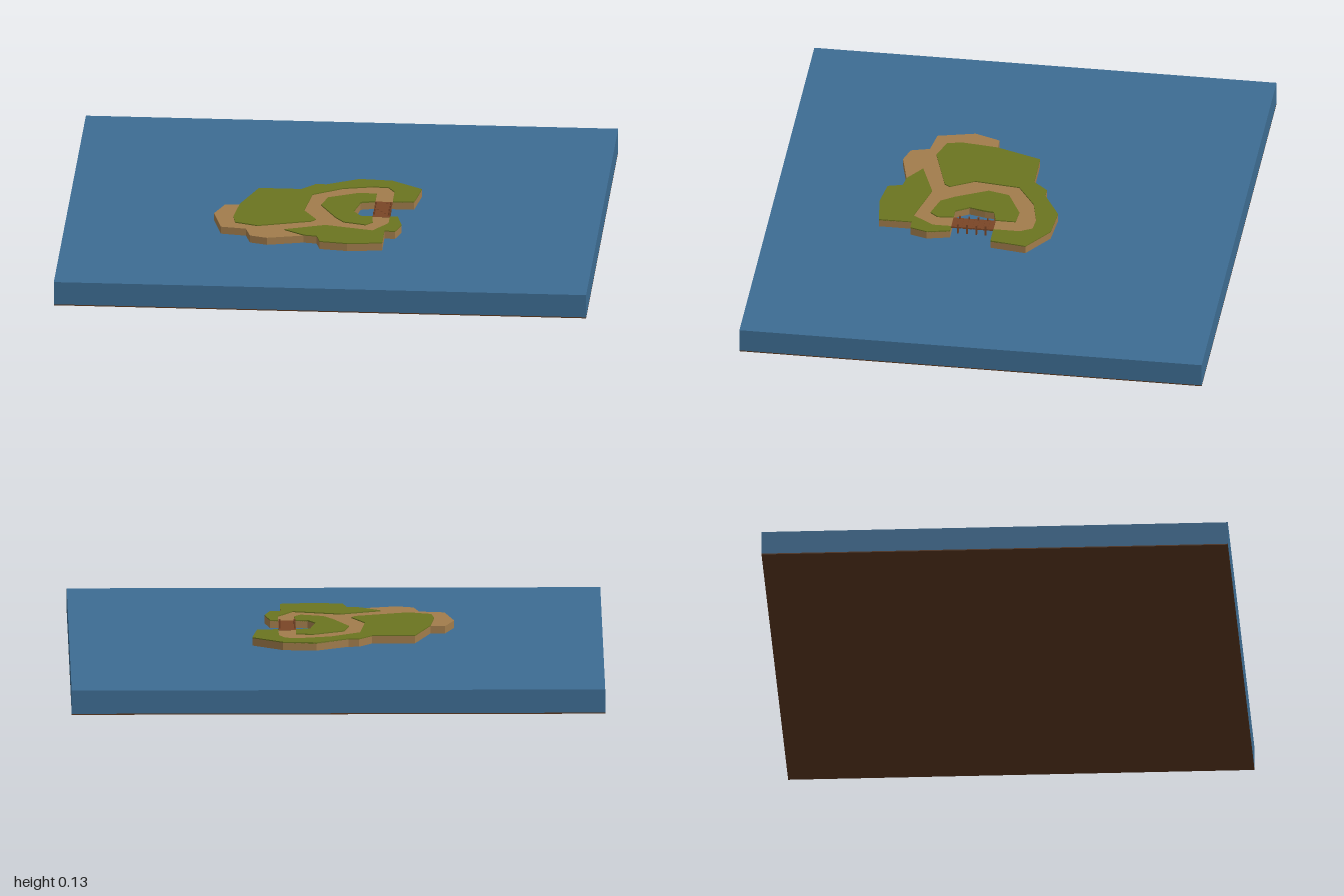
import * as THREE from 'three';

const material = (color) => new THREE.MeshStandardMaterial({ color, flatShading: true });
const water = material(0x3d6c92);
const sand = material(0xa17c4c);
const grass = material(0x6b7420);
const wood = material(0x7a4526);
const earth = material(0x5a3820);

function add(parent, name, geometry, mat, x = 0, y = 0, z = 0) {
  const mesh = new THREE.Mesh(geometry, mat);
  mesh.name = name;
  mesh.position.set(x, y, z);
  parent.add(mesh);
  return mesh;
}

// Upright slab from a plan outline given as [x, z] corners
function slab(points, bottom, top) {
  const shape = new THREE.Shape(points.map(([x, z]) => new THREE.Vector2(x, -z)));
  const geometry = new THREE.ExtrudeGeometry(shape, { depth: top - bottom, bevelEnabled: false });
  return geometry.rotateX(-Math.PI / 2).translate(0, bottom, 0);
}

// Coast sections, running clockwise in plan
const northCoast = [
  [-0.355, 0.09], [-0.295, -0.08], [-0.135, -0.08], [-0.085, -0.135], [-0.045, -0.135],
  [0.075, -0.2], [0.2, -0.19], [0.315, -0.11], [0.295, 0.025],
];
const cove = [
  [0.15, 0.025], [0.095, 0.04], [0.09, 0.075], [0.075, 0.135], [0.105, 0.185], [0.15, 0.185],
];
const southCoast = [
  [0.245, 0.185], [0.265, 0.27], [0.245, 0.335], [0.205, 0.335], [0.205, 0.46],
  [0.075, 0.475], [-0.03, 0.46], [-0.045, 0.405], [-0.095, 0.397],
];
const beach = [
  [-0.23, 0.43], [-0.295, 0.41], [-0.315, 0.34], [-0.41, 0.325], [-0.445, 0.185], [-0.41, 0.09],
];

// Borders of the sandy path
const pathOuter = [
  [0.215, 0.025], [0.215, -0.075], [0.19, -0.12], [0.13, -0.125], [0.02, -0.1], [-0.09, -0.03],
  [-0.11, 0.14], [-0.06, 0.23], [-0.075, 0.25], [-0.275, 0.31], [-0.36, 0.28], [-0.37, 0.22],
];
const pathInner = [
  [0.155, 0.245], [0.13, 0.275], [0.045, 0.25], [0.01, 0.2], [-0.05, 0.08],
  [-0.03, 0], [0.085, -0.055], [0.15, -0.05],
];
const pathSouth = [
  [-0.17, 0.345], [-0.02, 0.29], [0.16, 0.335], [0.215, 0.255], [0.215, 0.185],
];

export function createModel() {
  const model = new THREE.Group();
  model.name = 'islandDiorama';

  // Sea block on its thin bed
  add(model, 'seaBed', new THREE.BoxGeometry(2, 0.004, 1.75), earth, 0, 0.002, 0);
  add(model, 'sea', new THREE.BoxGeometry(2, 0.089, 1.75), water, 0, 0.0485, 0);

  // Sandy island body
  const coast = [...northCoast, ...cove, ...southCoast, ...beach];
  add(model, 'island', slab(coast, 0.004, 0.121), sand);

  // Grass either side of the path
  const lawns = {
    northGrass: [...northCoast, ...pathOuter],
    innerGrass: [...cove, ...pathInner],
    southGrass: [...southCoast, ...pathSouth],
  };
  for (const [name, outline] of Object.entries(lawns)) {
    add(model, name, slab(outline, 0.119, 0.125), grass);
  }

  // Plank bridge across the cove mouth, with thin posts
  const bridge = new THREE.Group();
  bridge.name = 'bridge';
  model.add(bridge);
  const planks = 8;
  const step = 0.16 / planks;
  for (let i = 0; i < planks; i++) {
    add(bridge, 'plank', new THREE.BoxGeometry(0.064, 0.006, step * 0.97), wood,
      0.182, 0.119, 0.025 + (i + 0.5) * step);
  }
  for (const x of [0.154, 0.21]) {
    for (const z of [0.055, 0.09, 0.125, 0.16]) {
      add(bridge, 'post', new THREE.BoxGeometry(0.006, 0.045, 0.006), wood, x, 0.11, z);
    }
  }
  return model;
}
